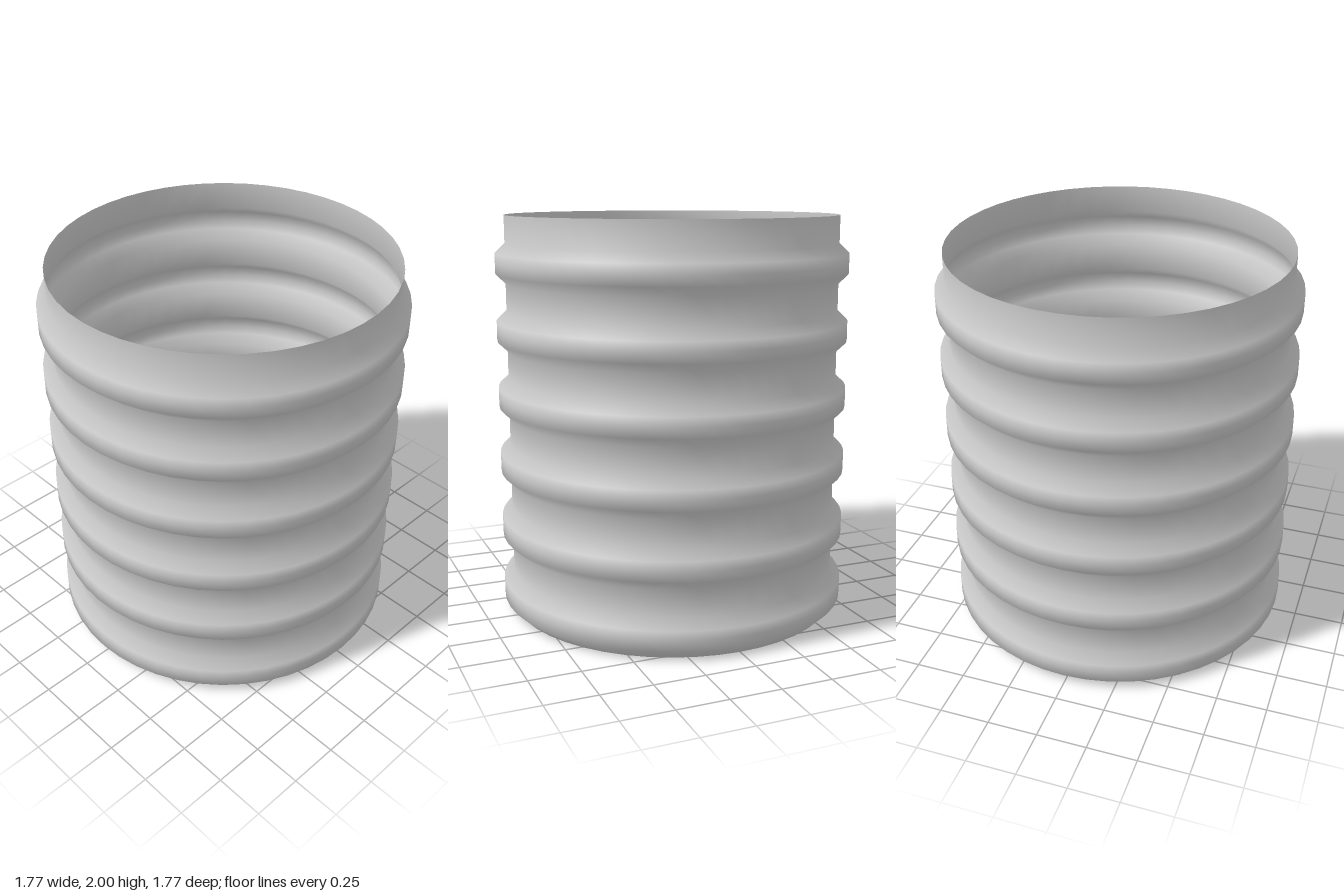
import * as THREE from 'three';

const RIBS = 6, PITCH = 2 / RIBS, INNER = 0.835, OUTER = 0.885;

// One rib followed by its straight neck: [radius, height above the rib's base]
const RIB = [
  [INNER, 0], [OUTER, 0.048], [OUTER, 0.1], [OUTER, 0.148], [INNER, 0.195],
];

export function createModel() {
  const group = new THREE.Group();
  group.name = 'corrugatedPipe';

  // Profile from the bottom rim to the top rim
  const profile = [];
  for (let i = 0; i < RIBS; i++) {
    for (const [r, y] of RIB) profile.push(new THREE.Vector2(r, i * PITCH + y));
  }
  profile.push(new THREE.Vector2(INNER, 2));

  // Thin open wall, visible inside and out
  const wall = new THREE.Mesh(
    new THREE.LatheGeometry(profile, 48),
    new THREE.MeshStandardMaterial({ color: 0xcccccc, side: THREE.DoubleSide })
  );
  wall.name = 'ribbedWall';
  group.add(wall);
  return group;
}
